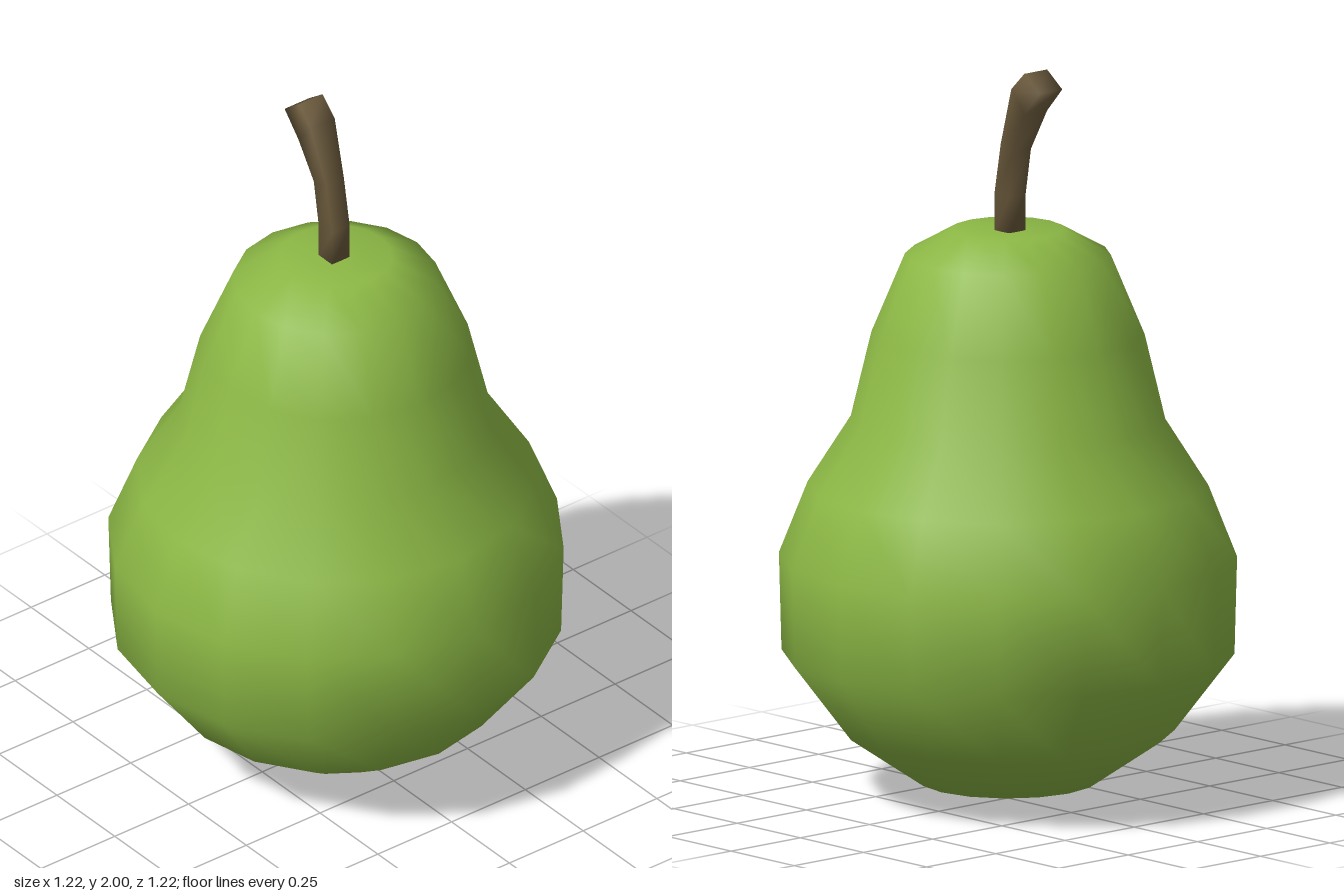
import * as THREE from 'three';

// Lofts square sections, each [leftX, leftY, rightX, rightY, halfDepth], into a closed bar
function loftBar(sections) {
  const positions = [];
  const index = [];
  for (const [lx, ly, rx, ry, d] of sections) {
    positions.push(rx, ry, d, rx, ry, -d, lx, ly, -d, lx, ly, d);
  }
  const last = (sections.length - 1) * 4;
  for (let i = 0; i < last; i += 4) {
    for (let j = 0; j < 4; j++) {
      const k = (j + 1) % 4;
      index.push(i + j, i + k, i + 4 + k, i + j, i + 4 + k, i + 4 + j);
    }
  }
  index.push(last, last + 1, last + 2, last, last + 2, last + 3);
  index.push(0, 2, 1, 0, 3, 2);
  const geometry = new THREE.BufferGeometry();
  geometry.setAttribute('position', new THREE.Float32BufferAttribute(positions, 3));
  geometry.setIndex(index);
  geometry.computeVertexNormals();
  return geometry;
}

export function createModel() {
  const group = new THREE.Group();
  group.name = 'pear';

  // Fruit: sixteen-sided turned profile, bottom to top
  const profile = [
    [0, 0], [0.24, 0.05], [0.445, 0.19], [0.605, 0.4], [0.612, 0.665], [0.535, 0.86],
    [0.42, 1.04], [0.365, 1.27], [0.275, 1.485], [0.15, 1.555], [0, 1.55],
  ].map(([r, y]) => new THREE.Vector2(r, y));
  const fruit = new THREE.Mesh(
    new THREE.LatheGeometry(profile, 16),
    new THREE.MeshStandardMaterial({ color: 0x8cb845 }),
  );
  fruit.name = 'fruit';
  group.add(fruit);

  // Stem: square bar that leans over and widens at the tip
  const stem = new THREE.Mesh(
    loftBar([
      [-0.037, 1.545, 0.021, 1.545, 0.03],
      [-0.037, 1.65, 0.021, 1.65, 0.03],
      [-0.058, 1.777, -0.004, 1.79, 0.03],
      [-0.11, 1.888, -0.058, 1.95, 0.041],
      [-0.17, 1.955, -0.11, 2, 0.041],
    ]),
    new THREE.MeshStandardMaterial({ color: 0x6b5a3c }),
  );
  stem.name = 'stem';
  group.add(stem);

  return group;
}
